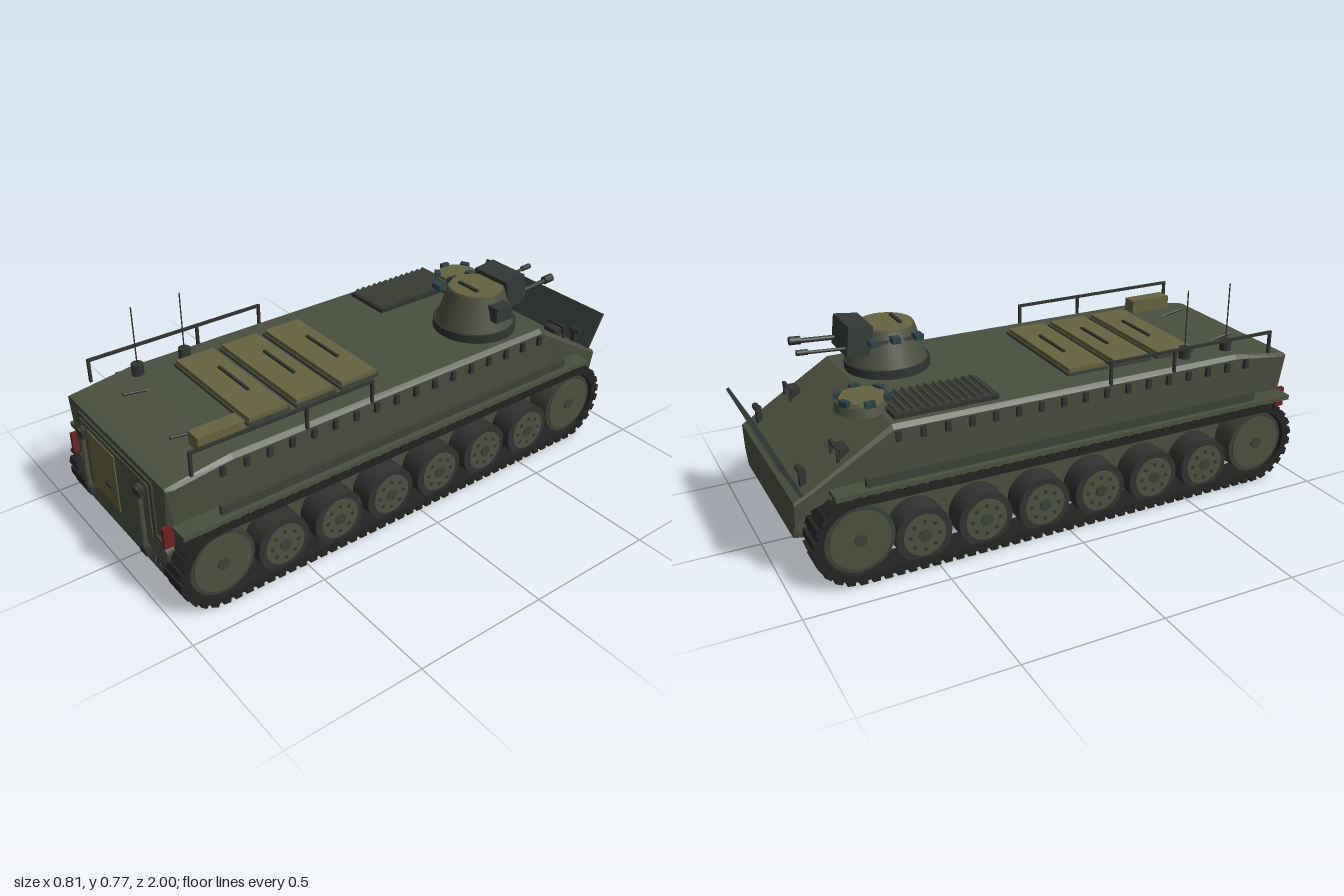
import * as THREE from 'three';
import { mergeGeometries } from 'three/addons/utils/BufferGeometryUtils.js';

const mats = {};
const mat = (c) => (mats[c] ??= new THREE.MeshStandardMaterial({ color: c }));
const GREEN = 0x4a503e, DARKGREEN = 0x3c4136, TAN = 0x66633f, STEEL = 0x30332f, RUBBER = 0x242523,
  VANE = 0x323a36, GLASS = 0x2a444a, RED = 0x6a2422;

// Closed body lofted through rings (counter-clockwise seen from +z), running from +z to -z
function loft(rings) {
  const p = [], n = rings[0].length;
  const tri = (...v) => v.forEach((q) => p.push(...q));
  for (let k = 0; k < rings.length - 1; k++)
    for (let i = 0; i < n; i++) {
      const j = (i + 1) % n, a = rings[k], b = rings[k + 1];
      tri(a[i], b[i], a[j]);
      tri(a[j], b[i], b[j]);
    }
  const f = rings[0], r = rings[rings.length - 1];
  for (let i = 1; i < n - 1; i++) {
    tri(f[0], f[i], f[i + 1]);
    tri(r[0], r[i + 1], r[i]);
  }
  const g = new THREE.BufferGeometry();
  g.setAttribute('position', new THREE.Float32BufferAttribute(p, 3));
  g.computeVertexNormals();
  return g;
}

// Stadium outline in the (z, y) plane
function stadium(P, r, z0, z1, y) {
  const p = new P();
  p.moveTo(z0, y - r);
  p.lineTo(z1, y - r);
  p.absarc(z1, y, r, -Math.PI / 2, Math.PI / 2, false);
  p.lineTo(z0, y + r);
  p.absarc(z0, y, r, Math.PI / 2, Math.PI * 1.5, false);
  return p;
}

export function createModel() {
  const root = new THREE.Group();
  const add = (name, geo, color, x = 0, y = 0, z = 0, rx = 0, ry = 0, rz = 0, parent = root) => {
    const m = new THREE.Mesh(geo, mat(color));
    m.name = name;
    m.position.set(x, y, z);
    m.rotation.set(rx, ry, rz);
    parent.add(m);
    return m;
  };
  const box = (name, color, w, h, d, x, y, z, rx = 0, ry = 0, rz = 0, parent = root) =>
    add(name, new THREE.BoxGeometry(w, h, d), color, x, y, z, rx, ry, rz, parent);
  const cyl = (name, color, r0, r1, h, x, y, z, rx = 0, rz = 0, seg = 24, parent = root) =>
    add(name, new THREE.CylinderGeometry(r1, r0, h, seg), color, x, y, z, rx, 0, rz, parent);
  const H = Math.PI / 2;

  // Hull: right half of each section, mirrored into a ring
  const sections = [
    [0.965, [[0.28, 0.105], [0.314, 0.31], [0.32, 0.335], [0.345, 0.475], [0.335, 0.48]]],
    [0.94, [[0.282, 0.105], [0.3, 0.315], [0.335, 0.33], [0.35, 0.475], [0.335, 0.485]]],
    [0.73, [[0.282, 0.105], [0.29, 0.315], [0.335, 0.33], [0.35, 0.5], [0.335, 0.515]]],
    [-0.62, [[0.282, 0.105], [0.29, 0.315], [0.335, 0.33], [0.35, 0.5], [0.335, 0.515]]],
    [-0.72, [[0.282, 0.105], [0.29, 0.315], [0.335, 0.33], [0.347, 0.44], [0.335, 0.453]]],
    [-0.9, [[0.282, 0.15], [0.29, 0.26], [0.334, 0.275], [0.338, 0.33], [0.333, 0.341]]],
    [-0.955, [[0.29, 0.165], [0.3, 0.2], [0.325, 0.22], [0.335, 0.3], [0.33, 0.31]]],
  ];
  add('hull', loft(sections.map(([z, half]) => [
    ...half.map(([x, y]) => [x, y, z]),
    ...half.slice().reverse().map(([x, y]) => [-x, y, z]),
  ])), GREEN);

  // Running gear, fenders and side fittings
  const ZR = 0.815, ZF = -0.765, CY = 0.16;
  const lugPath = stadium(THREE.Path, 0.15, ZF, ZR, CY);
  lugPath.closePath();
  const LUGS = 96, lugs = [];
  const pts = lugPath.getSpacedPoints(LUGS);
  for (let i = 0; i < LUGS; i++) {
    const a = pts[i], b = pts[(i + 1) % LUGS];
    const g = new THREE.BoxGeometry(0.115, 0.02, 0.026);
    g.rotateX(-Math.atan2(b.y - a.y, b.x - a.x));
    g.translate(0, a.y, a.x);
    lugs.push(g);
  }
  const lugGeo = mergeGeometries(lugs);
  const band = stadium(THREE.Shape, 0.148, ZF, ZR, CY);
  band.holes.push(stadium(THREE.Path, 0.125, ZF, ZR, CY));
  const bandGeo = new THREE.ExtrudeGeometry(band, { depth: 0.11, bevelEnabled: false, curveSegments: 20 });
  bandGeo.rotateY(-H).translate(0.055, 0, 0);

  for (const s of [1, -1]) {
    const side = new THREE.Group();
    side.name = s > 0 ? 'leftRunningGear' : 'rightRunningGear';
    root.add(side);
    add('trackBand', bandGeo, RUBBER, s * 0.348, 0, 0, 0, 0, 0, side);
    add('trackLugs', lugGeo, RUBBER, s * 0.3475, 0, 0, 0, 0, 0, side);
    const wheel = (name, z, y, r, inner, bolts) => {
      cyl(name + 'Tire', bolts ? STEEL : DARKGREEN, r, r, 0.09, s * 0.345, y, z, 0, H, 32, side);
      cyl(name + 'Disc', GREEN, inner, inner, 0.1, s * 0.345, y, z, 0, H, 32, side);
      cyl(name + 'Hub', DARKGREEN, 0.022, 0.022, 0.11, s * 0.345, y, z, 0, H, 16, side);
      for (let i = 0; i < bolts; i++) {
        const a = (i / bolts) * Math.PI * 2;
        cyl(name + 'Bolt', STEEL, 0.007, 0.007, 0.104, s * 0.345, y + 0.052 * Math.sin(a), z + 0.052 * Math.cos(a), 0, H, 8, side);
      }
    };
    for (let i = 0; i < 6; i++) wheel('roadWheel', 0.58 - i * 0.225, 0.12, 0.1, 0.076, 8);
    wheel('sprocket', ZR, CY, 0.12, 0.105, 0);
    wheel('idler', ZF, CY, 0.12, 0.105, 0);

    box('fender', GREEN, 0.075, 0.018, 1.79, s * 0.367, 0.326, 0.055);
    box('fenderRail', DARKGREEN, 0.018, 0.034, 1.53, s * 0.375, 0.35, 0.035);
    for (let i = 0; i < 17; i++) box('sideClip', STEEL, 0.014, 0.036, 0.018, s * 0.353, 0.477, 0.77 - i * 0.086);

    // Deck rail
    box('railBar', STEEL, 0.01, 0.01, 0.7, s * 0.348, 0.583, 0.53);
    for (const z of [0.875, 0.45, 0.185]) box('railPost', STEEL, 0.01, 0.085, 0.01, s * 0.348, 0.542, z);

    // Rear fittings
    box('tailLight', RED, 0.018, 0.075, 0.035, s * 0.329, 0.298, 0.965);
    cyl('waterJet', DARKGREEN, 0.05, 0.05, 0.03, s * 0.285, 0.22, 0.962, H, 0, 28);
    for (let i = -2; i <= 2; i++) box('jetSlat', STEEL, 0.095 - Math.abs(i) * 0.012, 0.005, 0.01, s * 0.285, 0.22 + i * 0.016, 0.976);
    cyl('hingeBar', GREEN, 0.009, 0.009, 0.25, s * 0.205, 0.297, 0.988, 0, 0, 12);
    for (const y of [0.408, 0.18]) {
      box('hingeBracket', STEEL, 0.044, 0.026, 0.024, s * 0.205, y, 0.986);
      box('hingePlate', DARKGREEN, 0.03, 0.04, 0.016, s * 0.205, y, 0.982);
    }
    cyl('deckGrab', STEEL, 0.005, 0.005, 0.11, s * 0.162, 0.517, 0.79, H - 0.15, 0, 8);

    // Nose fittings
    box('headlightBase', STEEL, 0.06, 0.035, 0.03, s * 0.27, 0.43, -0.77);
    box('headlightGlass', 0x8a8f88, 0.04, 0.022, 0.01, s * 0.27, 0.432, -0.787);
    box('headlightGuard', STEEL, 0.08, 0.008, 0.012, s * 0.27, 0.453, -0.795);
    for (const k of [-1, 1]) box('guardPost', STEEL, 0.007, 0.05, 0.01, s * 0.27 + k * 0.037, 0.43, -0.795);
    cyl('vaneArm', STEEL, 0.012, 0.012, 0.045, s * 0.27, 0.39, -0.91, 0, H, 12);
    box('vaneBracket', STEEL, 0.02, 0.07, 0.02, s * 0.27, 0.36, -0.905);
  }

  // Trim vane on the nose
  box('trimVane', VANE, 0.66, 0.16, 0.012, 0, 0.388, -0.957, -0.47);

  // Rear ramp with door
  box('rampFrame', DARKGREEN, 0.52, 0.32, 0.012, 0, 0.3, 0.966);
  box('ramp', GREEN, 0.485, 0.3, 0.012, 0, 0.295, 0.97);
  box('rearDoor', TAN, 0.195, 0.222, 0.012, -0.082, 0.317, 0.974);
  box('doorHandle', STEEL, 0.04, 0.01, 0.016, -0.011, 0.305, 0.988);

  // Three roof hatches
  for (const z of [0.155, 0.34, 0.525]) {
    box('hatchRim', DARKGREEN, 0.49, 0.014, 0.162, 0, 0.518, z);
    box('roofHatch', TAN, 0.475, 0.02, 0.148, 0, 0.53, z);
    box('hatchHandle', STEEL, 0.19, 0.008, 0.01, 0, 0.548, z - 0.015);
  }

  // Stowage box and antennas
  box('stowageBox', TAN, 0.06, 0.05, 0.17, 0.25, 0.545, 0.725);
  for (const z of [0.73, 0.545]) {
    cyl('antennaBase', STEEL, 0.022, 0.022, 0.045, -0.275, 0.533, z, 0, 0, 16);
    cyl('antenna', STEEL, 0.0025, 0.0025, 0.22, -0.275, 0.661, z, 0, 0, 6);
  }

  // Engine grille
  box('grilleFrame', STEEL, 0.19, 0.02, 0.375, -0.215, 0.52, -0.415);
  for (let i = 0; i < 13; i++) box('grilleSlat', DARKGREEN, 0.18, 0.006, 0.02, -0.215, 0.535, -0.583 + i * 0.028, 0.5);

  // Driver cupola with periscopes
  cyl('cupolaRing', GREEN, 0.095, 0.088, 0.03, -0.158, 0.527, -0.655, 0, 0, 32);
  cyl('cupolaLid', TAN, 0.08, 0.078, 0.014, -0.158, 0.547, -0.655, 0, 0, 32);
  for (let i = 0; i < 6; i++) {
    const a = (i / 6) * Math.PI * 2 + 0.5;
    box('periscope', GLASS, 0.035, 0.02, 0.02, -0.158 + 0.083 * Math.sin(a), 0.553, -0.655 + 0.083 * Math.cos(a), 0, a);
  }

  // Turret with twin guns
  const turret = new THREE.Group();
  turret.name = 'turret';
  turret.position.set(0.16, 0, -0.45);
  root.add(turret);
  const tb = (name, c, w, h, d, x, y, z, rx = 0) => box(name, c, w, h, d, x, y, z, rx, 0, 0, turret);
  const tc = (name, c, r0, r1, h, x, y, z, rx = 0, rz = 0, seg = 40) => cyl(name, c, r0, r1, h, x, y, z, rx, rz, seg, turret);
  tc('turretRing', STEEL, 0.155, 0.155, 0.032, 0, 0.53, 0);
  tc('turretCone', GREEN, 0.145, 0.104, 0.13, 0, 0.607, 0);
  tc('turretLid', TAN, 0.102, 0.1, 0.012, 0, 0.672, 0);
  tb('lidHandle', STEEL, 0.1, 0.008, 0.012, 0, 0.684, 0.04);
  tb('gunShield', VANE, 0.17, 0.11, 0.09, 0, 0.647, -0.125, 0.12);
  tb('sideSight', VANE, 0.055, 0.058, 0.075, 0.127, 0.62, 0);
  for (const z of [-0.09, -0.01, 0.075]) tb('turretPeriscope', GLASS, 0.042, 0.02, 0.03, -0.122, 0.65, z);
  tb('periscopeBar', DARKGREEN, 0.03, 0.012, 0.18, -0.095, 0.64, -0.01);
  for (const [x, r, end] of [[-0.063, 0.006, -0.345], [0.063, 0.009, -0.335]]) {
    const len = -0.15 - end;
    tc('gunBarrel', STEEL, r, r, len, x, 0.63, (end - 0.15) / 2, -H + 0.06, 0, 12);
    tc('muzzle', STEEL, r * 1.7, r * 1.7, 0.04, x, 0.637, end + 0.02, -H + 0.06, 0, 12);
  }

  root.updateMatrixWorld(true);
  return root;
}
